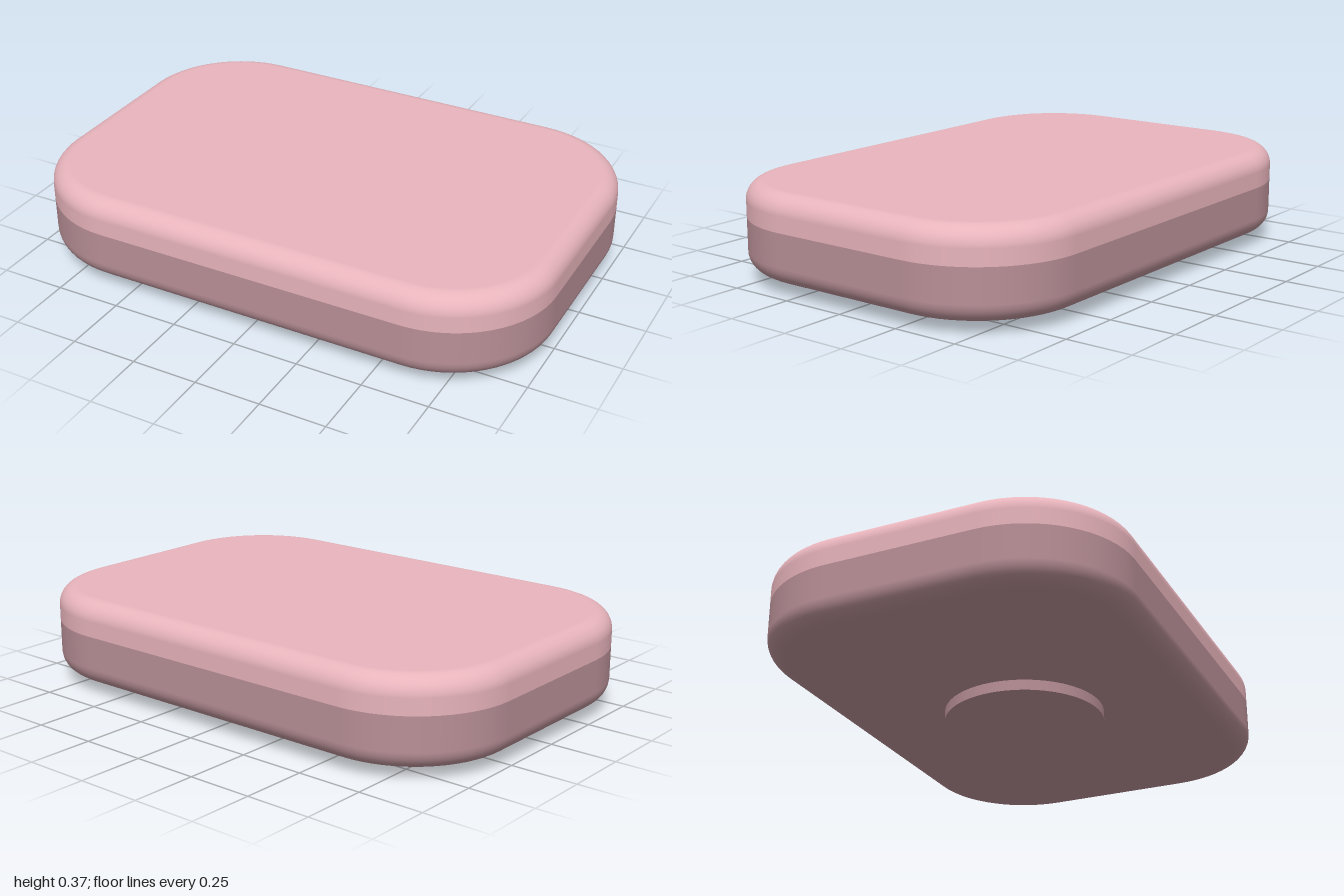
import * as THREE from 'three';

const HALF_X = 1, HALF_Z = 0.68, CORNER = 0.4, FILLET = 0.07;
const BOTTOM = 0.04, SEAM = 0.235, TOP = 0.365;

// Sweeps a profile, listed from bottom to top, around a rounded rectangle.
// Each profile entry: inset from the outline, height y, normal (out, up), or centre: true.
function sweepShell(profile) {
  const outline = [];
  for (let q = 0; q < 4; q++) {
    const sx = q === 0 || q === 3 ? 1 : -1, sz = q < 2 ? 1 : -1;
    for (let i = 0; i <= 16; i++) {
      const a = (q + i / 16) * Math.PI / 2;
      outline.push({ cx: sx * (HALF_X - CORNER), cz: sz * (HALF_Z - CORNER), c: Math.cos(a), s: Math.sin(a) });
    }
  }
  const pos = [], nor = [], idx = [], n = outline.length;
  profile.forEach((p, j) => {
    outline.forEach((o, i) => {
      const r = CORNER - p.inset;
      if (p.centre) pos.push(0, p.y, 0);
      else pos.push(o.cx + o.c * r, p.y, o.cz + o.s * r);
      nor.push(o.c * p.out, p.up, o.s * p.out);
      if (j === 0) return;
      const k = (i + 1) % n, lo = (j - 1) * n, hi = j * n;
      idx.push(lo + i, hi + i, lo + k, hi + i, hi + k, lo + k);
    });
  });
  const g = new THREE.BufferGeometry();
  g.setAttribute('position', new THREE.Float32BufferAttribute(pos, 3));
  g.setAttribute('normal', new THREE.Float32BufferAttribute(nor, 3));
  g.setIndex(idx);
  return g;
}

// Half-shell profile: straight wall from the seam, quarter-round fillet, flat cap
function halfProfile(capY, dir) {
  const p = [{ inset: 0, y: SEAM, out: 1, up: 0 }];
  for (let i = 0; i <= 10; i++) {
    const a = i / 10 * Math.PI / 2, out = Math.cos(a), up = dir * Math.sin(a);
    p.push({ inset: FILLET * (1 - out), y: capY - dir * FILLET + FILLET * up, out, up });
  }
  p.push({ centre: true, inset: 0, y: capY, out: 0, up: dir });
  return dir > 0 ? p : p.reverse();
}

export function createModel() {
  const group = new THREE.Group();
  const light = new THREE.MeshStandardMaterial({ color: 0xe8b4bc });
  const dark = new THREE.MeshStandardMaterial({ color: 0xb88f96 });
  const add = (name, geometry, material) => {
    const mesh = new THREE.Mesh(geometry, material);
    mesh.name = name;
    group.add(mesh);
    return mesh;
  };

  // Two-tone rounded body
  add('upperShell', sweepShell(halfProfile(TOP, 1)), light);
  add('lowerShell', sweepShell(halfProfile(BOTTOM, -1)), dark);

  // Round foot under the body
  add('foot', new THREE.CylinderGeometry(0.3, 0.3, BOTTOM, 64), dark).position.y = BOTTOM / 2;

  return group;
}
